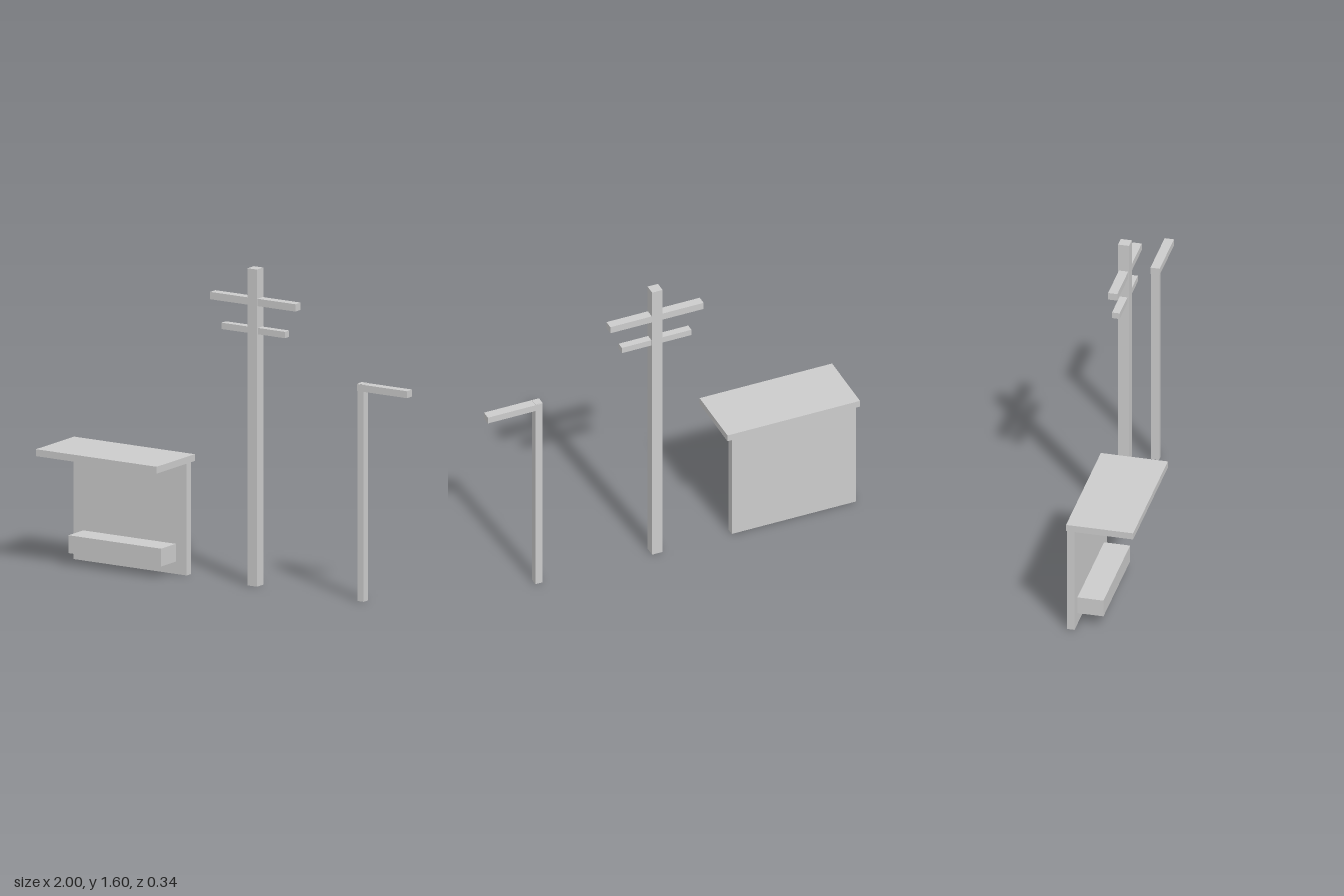
import * as THREE from 'three';

const material = new THREE.MeshStandardMaterial({ color: 0xcccccc, flatShading: true });

// Box given by its [min, max] extent along each axis
function box(name, [x0, x1], [y0, y1], [z0, z1]) {
  const mesh = new THREE.Mesh(new THREE.BoxGeometry(x1 - x0, y1 - y0, z1 - z0), material);
  mesh.name = name;
  mesh.position.set((x0 + x1) / 2, (y0 + y1) / 2, (z0 + z1) / 2);
  return mesh;
}

function group(name, ...parts) {
  const g = new THREE.Group();
  g.name = name;
  g.add(...parts);
  return g;
}

// Range of a given width around a centre
const around = (centre, width) => [centre - width / 2, centre + width / 2];

export function createModel() {
  const poleX = 0.09, poleZ = -0.141;

  // Bus shelter: back wall, overhanging roof and bench
  const shelter = group('shelter',
    box('backWall', [-0.979, -0.31], [0, 0.573], [-0.17, -0.132]),
    box('roof', [-1, -0.287], [0.573, 0.608], [-0.17, 0.17]),
    box('bench', [-0.92, -0.374], [0.062, 0.152], [-0.134, 0]));

  // Utility pole with two crossarms
  const utilityPole = group('utilityPole',
    box('pole', around(poleX, 0.056), [0, 1.6], around(poleZ, 0.056)),
    box('upperCrossarm', around(poleX, 0.502), [1.415, 1.452], around(poleZ, 0.047)),
    box('lowerCrossarm', around(poleX, 0.374), [1.272, 1.304], around(poleZ, 0.039)));

  // Street lamp: thin post with an arm reaching sideways
  const streetLamp = group('streetLamp',
    box('lampPost', [0.705, 0.743], [0, 1.097], around(poleZ, 0.04)),
    box('lampArm', [0.705, 1], [1.06, 1.095], around(poleZ, 0.047)));

  return group('streetFurniture', shelter, utilityPole, streetLamp);
}
